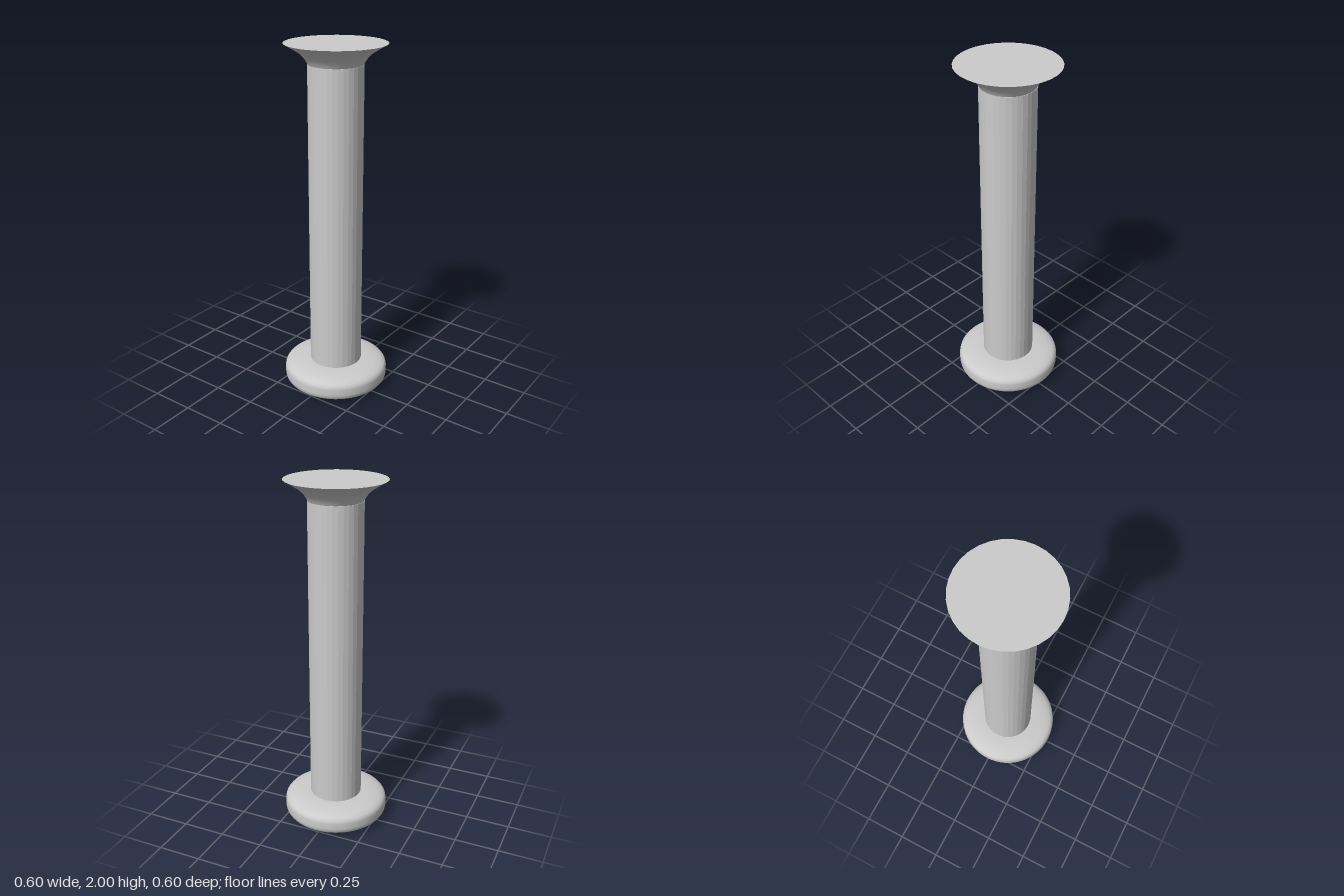
import * as THREE from 'three';

export function createModel() {
  const model = new THREE.Group();
  const add = (name, geometry, flatShading = false) => {
    const mesh = new THREE.Mesh(geometry, new THREE.MeshStandardMaterial({ color: 0xcccccc, flatShading }));
    mesh.name = name;
    model.add(mesh);
    return mesh;
  };
  const lathe = (points, sides) =>
    new THREE.LatheGeometry(points.map(([r, y]) => new THREE.Vector2(r, y)), sides);

  // Cushion-shaped round base
  add('base', lathe([
    [0, 0], [0.15, 0], [0.2, 0.005], [0.24, 0.013], [0.27, 0.023], [0.288, 0.035], [0.297, 0.048],
    [0.3, 0.065], [0.3, 0.1], [0.297, 0.115], [0.288, 0.127], [0.27, 0.138], [0.24, 0.146],
    [0.2, 0.153], [0.15, 0.157], [0, 0.157],
  ], 64));

  // Faceted shaft, turned half a facet so a flat faces the front
  const shaft = add('shaft', new THREE.CylinderGeometry(0.15, 0.15, 1.75, 32), true);
  shaft.position.y = 1.015;
  shaft.rotation.y = Math.PI / 32;

  // Flared capital with a concave profile
  add('capital', lathe([
    [0.143, 1.88], [0.152, 1.9], [0.168, 1.925], [0.193, 1.95], [0.23, 1.974], [0.275, 2],
  ], 32));

  // Flat disc closing the capital
  const top = add('capitalTop', new THREE.CircleGeometry(0.275, 32));
  top.rotation.x = -Math.PI / 2;
  top.position.y = 2;

  return model;
}
